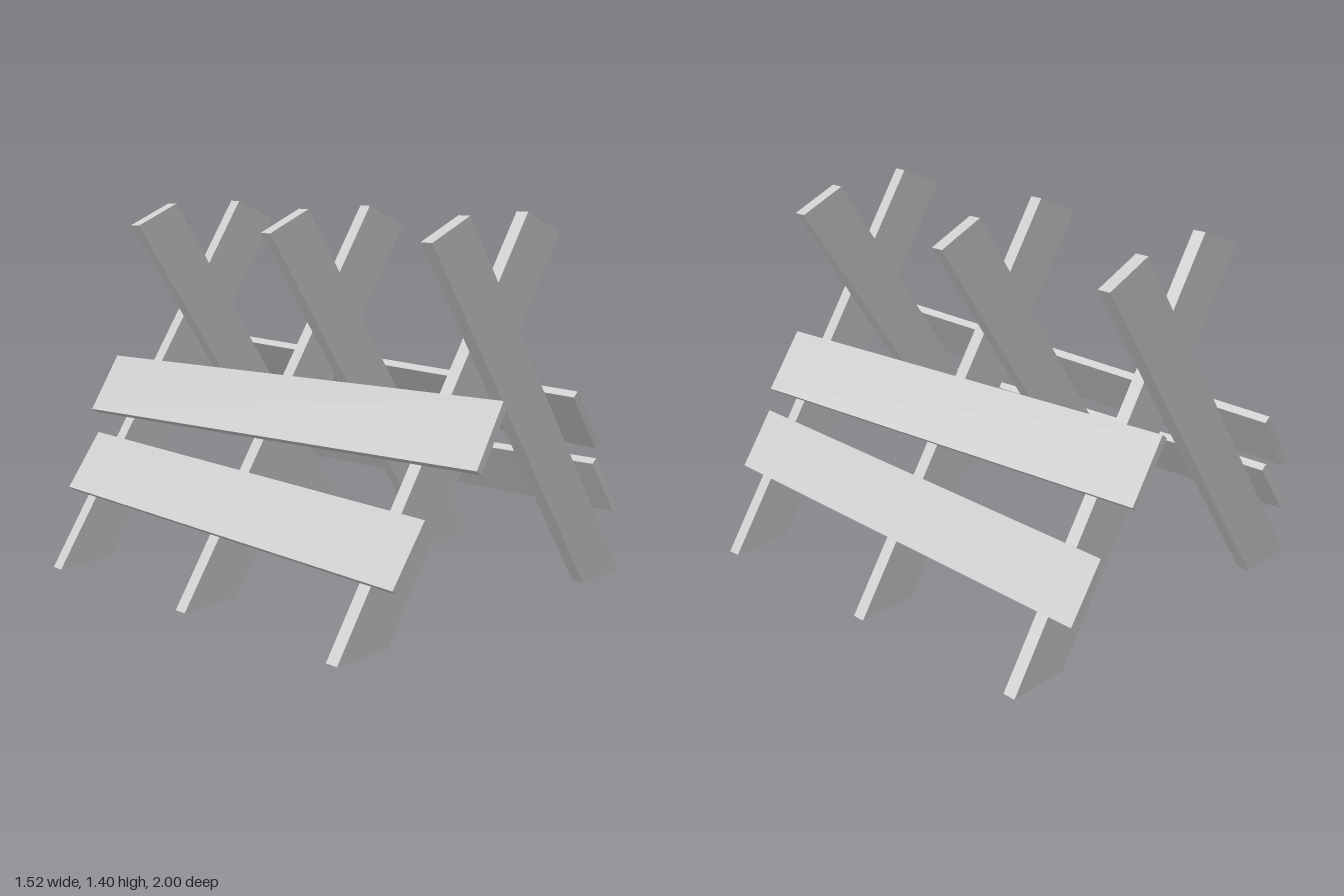
import * as THREE from 'three';

const material = new THREE.MeshStandardMaterial({ color: 0xcccccc, flatShading: true });

// Slanted post: foot cut level with the ground, top cut square
function makePost(side) {
  const corners = [[0.52, 0], [0.76, 0], [-0.19, 1.4], [-0.38, 1.32]];
  const shape = new THREE.Shape(corners.map(([x, y]) => new THREE.Vector2(side * x, y)));
  const geometry = new THREE.ExtrudeGeometry(shape, { depth: 0.05, bevelEnabled: false });
  const post = new THREE.Mesh(geometry, material);
  post.name = side > 0 ? 'leftPost' : 'rightPost';
  return post;
}

// Board resting on a slope: lean follows the posts, skew is the uneven nailing
function makeBoard({ name, side, x, y, width, length, lean, skew }) {
  const board = new THREE.Mesh(new THREE.BoxGeometry(0.03, width, length), material);
  board.name = name;
  board.position.set(side * x, y, 0);
  board.rotation.set(skew, 0, side * THREE.MathUtils.degToRad(lean), 'ZYX');
  return board;
}

export function createModel() {
  const model = new THREE.Group();
  model.name = 'barricade';

  // Three crossed pairs of posts, side by side in depth
  for (const z of [-0.75, 0, 0.75]) {
    const frame = new THREE.Group();
    frame.name = 'crossedPosts';
    const right = makePost(-1);
    right.position.z = -0.05;
    frame.add(makePost(1), right);
    frame.position.z = z;
    model.add(frame);
  }

  // Two crooked boards on each slope
  const boards = [
    { name: 'leftLowerBoard', side: 1, x: 0.536, y: 0.373, width: 0.243, length: 1.76, lean: 34, skew: -0.0255 },
    { name: 'leftUpperBoard', side: 1, x: 0.316, y: 0.691, width: 0.26, length: 1.84, lean: 37.5, skew: 0.034 },
    { name: 'rightLowerBoard', side: -1, x: 0.545, y: 0.36, width: 0.25, length: 1.76, lean: 35.5, skew: 0.024 },
    { name: 'rightUpperBoard', side: -1, x: 0.318, y: 0.681, width: 0.25, length: 1.99, lean: 34.2, skew: -0.031 },
  ];
  for (const board of boards) model.add(makeBoard(board));

  return model;
}
